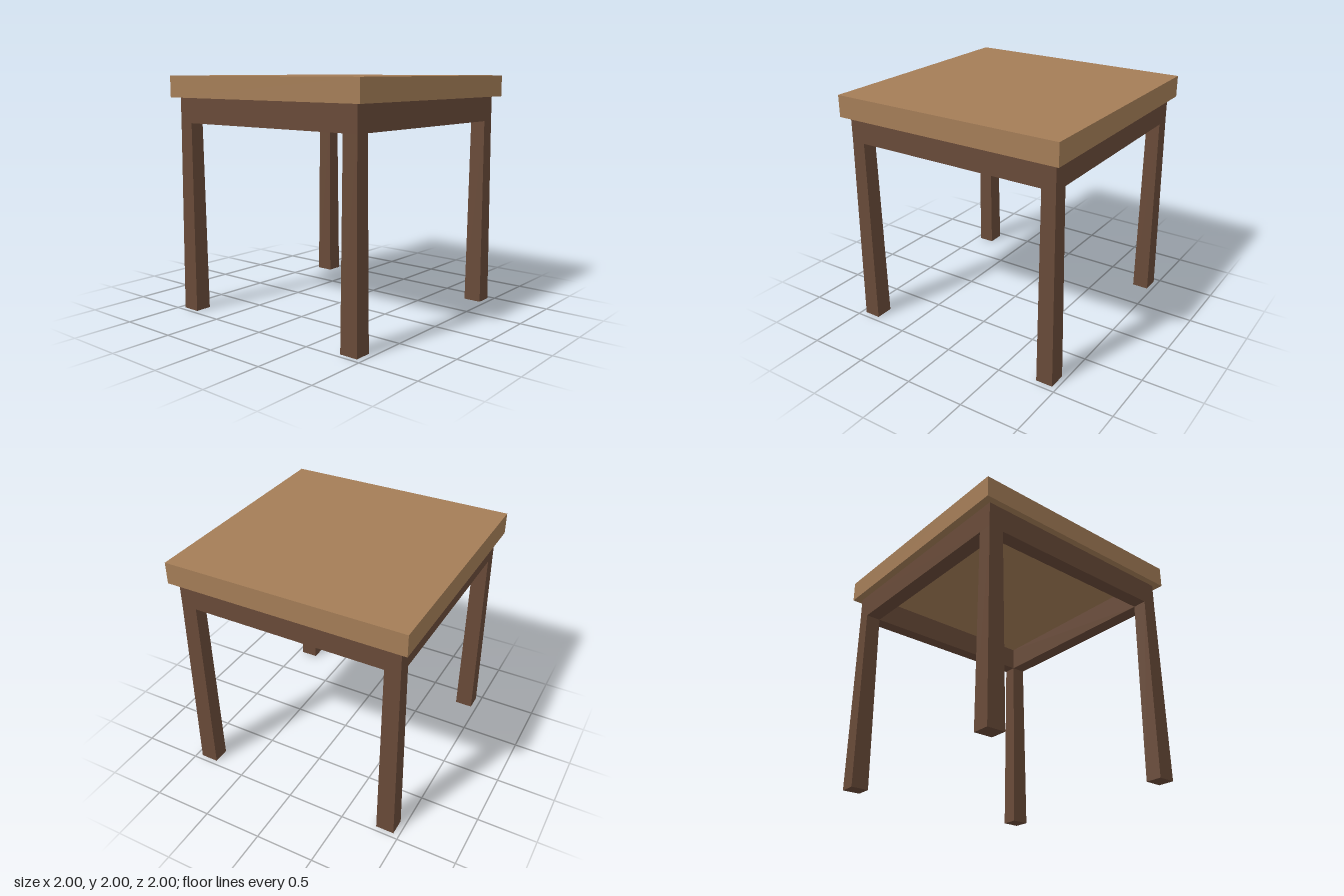
import * as THREE from 'three';

const TOP_Y = 1.82, APRON_Y = 1.61;
const OUT_X = 0.937, IN_X = 0.808, OUT_Z = 0.946, IN_Z = 0.828;

function rectangle(Type, x, z) {
  return new Type([[-x, -z], [x, -z], [x, z], [-x, z]].map(([a, b]) => new THREE.Vector2(a, b)));
}

// Square post, slightly wider at the foot than at the top
function legGeometry() {
  const w = OUT_X - IN_X, d = OUT_Z - IN_Z;
  const geo = new THREE.BoxGeometry(w, APRON_Y, d);
  const p = geo.attributes.position;
  for (let i = 0; i < p.count; i++) {
    if (p.getY(i) < 0) {
      p.setX(i, Math.sign(p.getX(i)) * 0.077);
      p.setZ(i, Math.sign(p.getZ(i)) * 0.071);
    }
  }
  geo.translate(0, APRON_Y / 2, 0);
  geo.computeVertexNormals();
  return geo;
}

export function createModel() {
  const group = new THREE.Group();
  const topWood = new THREE.MeshStandardMaterial({ color: 0xa47d57 });
  const darkWood = new THREE.MeshStandardMaterial({ color: 0x684a38 });

  const add = (name, geo, material, x = 0, y = 0, z = 0) => {
    const mesh = new THREE.Mesh(geo, material);
    mesh.name = name;
    mesh.position.set(x, y, z);
    group.add(mesh);
  };

  // Thick square tabletop
  add('tabletop', new THREE.BoxGeometry(2, 2 - TOP_Y, 2), topWood, 0, (2 + TOP_Y) / 2);

  // Apron: a rectangular frame, open in the middle, as wide as the legs
  const frame = rectangle(THREE.Shape, OUT_X, OUT_Z);
  frame.holes.push(rectangle(THREE.Path, IN_X, IN_Z));
  const apron = new THREE.ExtrudeGeometry(frame, { depth: TOP_Y - APRON_Y, bevelEnabled: false });
  apron.rotateX(-Math.PI / 2);
  add('apron', apron, darkWood, 0, APRON_Y, 0);

  // Four legs under the corners of the apron
  const leg = legGeometry();
  for (const [sx, side] of [[1, 'Left'], [-1, 'Right']]) {
    for (const [sz, end] of [[1, 'front'], [-1, 'back']]) {
      add(`${end}${side}Leg`, leg, darkWood, sx * (OUT_X + IN_X) / 2, 0, sz * (OUT_Z + IN_Z) / 2);
    }
  }
  return group;
}
